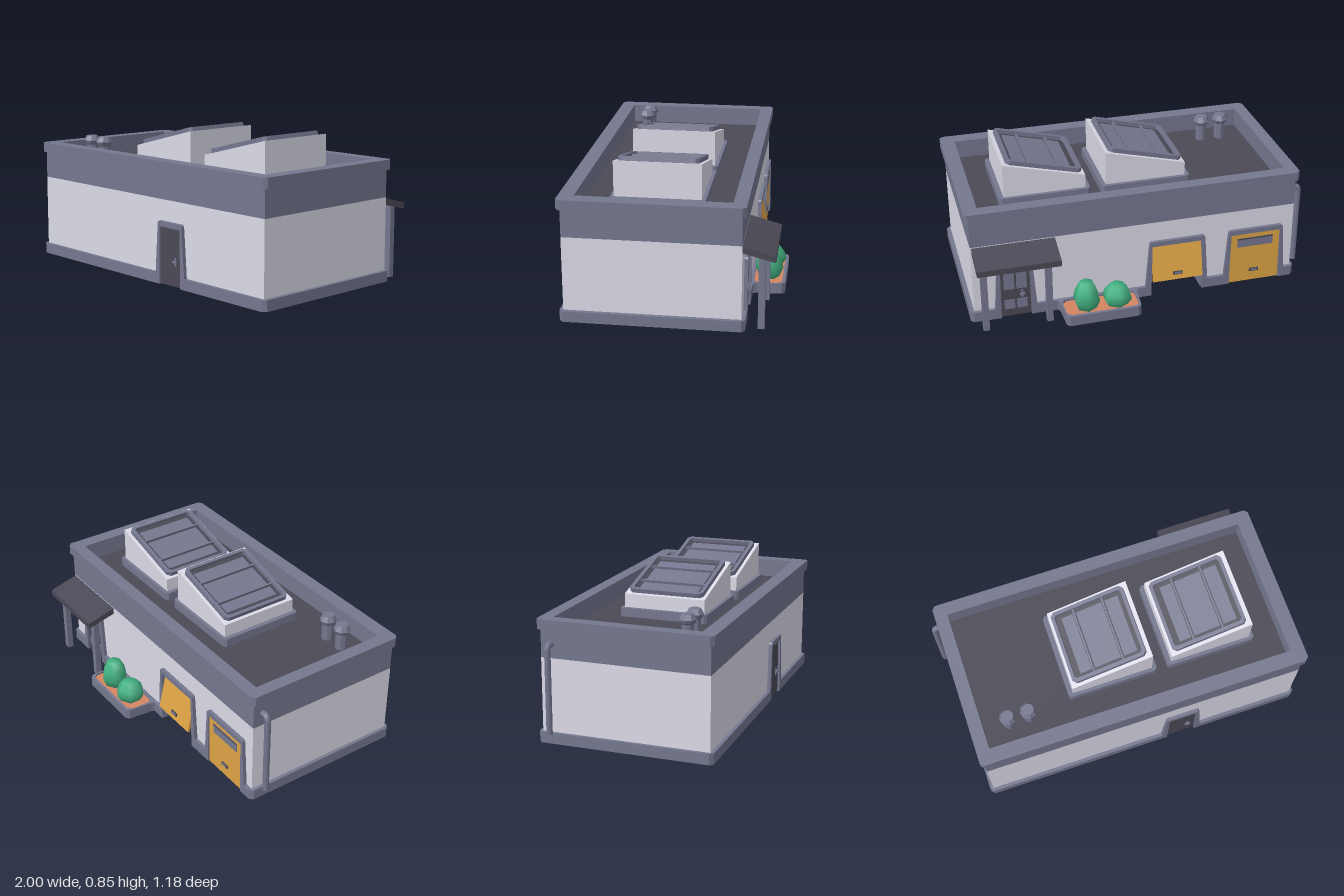
import * as THREE from 'three';

const mat = (name, color) => { const m = new THREE.MeshStandardMaterial({ color }); m.name = name; return m; };

export function createModel() {
  const M = {
    wall: mat('pale wall', 0xdddce9), slate: mat('slate trim', 0x75778f), dark: mat('dark grey', 0x4b4955),
    amber: mat('amber door', 0xdda345), soil: mat('terracotta soil', 0xd38562), green: mat('shrub green', 0x43b182),
  };
  const root = new THREE.Group();
  const add = (name, geo, m, x = 0, y = 0, z = 0, parent = root) => {
    const mesh = new THREE.Mesh(geo, m);
    mesh.name = name;
    mesh.position.set(x, y, z);
    parent.add(mesh);
    return mesh;
  };
  // box given by its min and max corners
  const box = (name, m, x0, x1, y0, y1, z0, z1, parent = root) =>
    add(name, new THREE.BoxGeometry(x1 - x0, y1 - y0, z1 - z0), m, (x0 + x1) / 2, (y0 + y1) / 2, (z0 + z1) / 2, parent);
  const poly = (pts, Type = THREE.Shape) => new Type(pts.map(p => new THREE.Vector2(...p)));
  const extrude = (shape, depth) => new THREE.ExtrudeGeometry(shape, { depth, bevelEnabled: false });
  // extrude a plan outline of [x, -z] points upward from y0 to y1
  const slab = (name, m, shape, y0, y1) => add(name, extrude(shape, y1 - y0).rotateX(-Math.PI / 2), m, 0, y0, 0);
  // rectangle with cut corners
  const cut = (x0, x1, y0, y1, c) => [[x0 + c, y0], [x1 - c, y0], [x1, y0 + c], [x1, y1 - c],
    [x1 - c, y1], [x0 + c, y1], [x0, y1 - c], [x0, y0 + c]];

  // plinth with notches for the doors and a bay behind the raised garage door
  const notch = (c, w, edge, inner) => [[c + w, edge], [c + w, inner], [c - w, inner], [c - w, edge]];
  const plan = poly([
    [-0.935, -0.59], ...notch(0.257, -0.088, -0.59, -0.567), [0.978, -0.59], [0.998, -0.57], [0.998, 0.39], [0.978, 0.41],
    ...notch(0.735, 0.088, 0.41, 0.387), ...notch(-0.22, 0.155, 0.41, 0.19), ...notch(-0.7, 0.155, 0.41, 0.387),
    [-0.935, 0.41], [-0.955, 0.39], [-0.955, -0.57]]);
  slab('plinth', M.slate, plan, 0, 0.062);

  // walls: solid front part, back part cut out around the bay
  box('mainWalls', M.wall, -0.935, 0.975, 0.06, 0.48, -0.19, 0.57);
  add('backWall', extrude(poly([[-0.935, 0.06], [-0.375, 0.06], [-0.375, 0.34], [-0.065, 0.34], [-0.065, 0.06],
    [0.975, 0.06], [0.975, 0.48], [-0.935, 0.48]]), 0.2), M.wall, 0, 0, -0.39);
  box('bayBack', M.slate, -0.375, -0.065, 0, 0.34, -0.196, -0.188);
  box('bayCeiling', M.slate, -0.375, -0.065, 0.332, 0.34, -0.39, -0.19);
  for (const x of [-0.375, -0.071]) box('baySide', M.slate, x, x + 0.006, 0.005, 0.34, -0.39, -0.19);

  // upper band, parapet and sunken roof
  const ring = (o) => {
    const s = poly(o);
    s.holes.push(poly([[-0.88, -0.505], [-0.88, 0.335], [0.915, 0.335], [0.915, -0.505]], THREE.Path));
    return s;
  };
  slab('upperBand', M.slate, ring(cut(-0.935, 0.975, -0.57, 0.39, 0.001)), 0.48, 0.64);
  slab('parapet', M.slate, ring(cut(-0.955, 0.998, -0.59, 0.41, 0.02)), 0.638, 0.695);
  box('roofFloor', M.dark, -0.89, 0.925, 0.5, 0.585, -0.345, 0.515);

  // flared frame around a doorway, facing local +z
  const doorway = (name, x, z, turn, half) => {
    const g = new THREE.Group();
    g.name = name;
    g.position.set(x, 0, z);
    g.rotation.y = turn;
    root.add(g);
    const h = 0.33, t = half + 0.008, b = half + 0.033;
    add('doorFrame', extrude(poly([[-b, 0], [-half, 0], [-half + 0.004, h], [half - 0.004, h], [half, 0], [b, 0],
      [b, 0.062], [t + 0.004, h + 0.02], [t - 0.004, h + 0.03], [-t + 0.004, h + 0.03], [-t - 0.004, h + 0.02], [-b, 0.062]]),
    0.0205), M.slate, 0, 0, 0, g);
    return g;
  };
  const front = doorway('frontDoor', 0.257, 0.57, 0, 0.088);
  const rear = doorway('rearDoor', 0.735, -0.39, Math.PI, 0.088);
  for (const g of [front, rear]) {
    box('doorLeaf', M.dark, -0.088, 0.088, 0.002, 0.332, -0.004, 0.008, g);
    box('handlePlate', M.slate, 0.03, 0.046, 0.12, 0.165, 0.008, 0.012, g);
    box('handleBar', M.slate, 0.022, 0.054, 0.138, 0.148, 0.012, 0.022, g);
  }
  for (const [y0, y1] of [[0.05, 0.11], [0.18, 0.3]])
    for (const x of [-0.066, 0.006]) box('doorPane', M.slate, x, x + 0.06, y0, y1, 0.007, 0.012, rear);

  // garage doors: one shut with a letter-slot window, one tilted open
  const shut = doorway('closedGarage', -0.7, -0.39, Math.PI, 0.155);
  const raised = doorway('openGarage', -0.22, -0.39, Math.PI, 0.155);
  box('garageLeaf', M.amber, -0.155, 0.155, 0.002, 0.332, -0.002, 0.012, shut);
  box('garageWindow', M.slate, -0.11, 0.11, 0.24, 0.298, 0.011, 0.015, shut);
  box('garageWindowLintel', M.dark, -0.11, 0.11, 0.29, 0.298, 0.012, 0.017, shut);
  const tilt = new THREE.Group();
  tilt.name = 'tiltedLeaf';
  tilt.position.set(0, 0.335, -0.022);
  tilt.rotation.x = -0.23;
  raised.add(tilt);
  box('garageLeaf', M.amber, -0.15, 0.15, -0.24, 0, -0.006, 0.01, tilt);
  for (const [g, y, z] of [[shut, 0.075, 0.012], [tilt, -0.2, 0.01]]) {
    box('garageHandle', M.dark, -0.028, 0.028, y - 0.01, y + 0.01, z, z + 0.006, g);
    box('garageGrip', M.slate, -0.02, 0.02, y - 0.005, y + 0.005, z, z + 0.008, g);
  }

  // canopy on two posts
  add('canopy', extrude(poly([[0.38, 0.44], [0.565, 0.392], [0.565, 0.427], [0.38, 0.478]]), 0.47)
    .rotateY(Math.PI / 2), M.dark, 0.497, 0, 0);
  for (const x of [0.56, 0.925]) box('canopyPost', M.slate, x - 0.018, x + 0.018, 0, 0.42, -0.51, -0.474);

  // planter with two shrubs
  const rim = poly([[0.02, 0.4], [0.5, 0.4], [0.485, 0.43], [0.48, 0.572], [0.462, 0.59], [0.062, 0.59], [0.042, 0.572], [0.03, 0.43]]);
  rim.holes.push(poly(cut(0.047, 0.473, 0.411, 0.572, 0.025), THREE.Path));
  slab('planter', M.slate, rim, 0, 0.062);
  box('planterBase', M.slate, 0.045, 0.475, 0, 0.01, -0.574, -0.405);
  box('soil', M.soil, 0.045, 0.475, 0.01, 0.05, -0.574, -0.405);
  const lathe = (pts, n) => new THREE.LatheGeometry(pts.map(p => new THREE.Vector2(...p)), n);
  for (const [x, r, h] of [[0.165, 0.088, 0.125], [0.345, 0.08, 0.17]])
    add('shrub', lathe([[0, 0], [r * 0.7, 0], [r, h * 0.34], [r * 0.87, h * 0.66], [r * 0.5, h], [0, h]], 6),
      M.green, x, 0.045, -0.492);

  // drainpipe with an elbow into the band
  const pipe = new THREE.CurvePath();
  const P = (x, y) => new THREE.Vector3(x, y, -0.33);
  pipe.add(new THREE.LineCurve3(P(-0.98, 0.062), P(-0.98, 0.535)));
  pipe.add(new THREE.QuadraticBezierCurve3(P(-0.98, 0.535), P(-0.98, 0.56), P(-0.96, 0.56)));
  pipe.add(new THREE.LineCurve3(P(-0.96, 0.56), P(-0.93, 0.56)));
  add('drainpipe', new THREE.TubeGeometry(pipe, 40, 0.018, 8), M.slate);
  add('drainpipeEnd', new THREE.CircleGeometry(0.018, 8).rotateX(Math.PI / 2), M.slate, -0.98, 0.062, -0.33);

  // roof vents
  const ventGeo = lathe([[0.034, 0], [0.034, 0.1], [0.042, 0.108], [0.05, 0.126], [0.034, 0.155], [0, 0.155]], 8).toNonIndexed();
  ventGeo.computeVertexNormals();
  for (const x of [-0.73, -0.61]) add('roofVent', ventGeo, M.slate, x, 0.585, 0.37);

  // sloped skylights
  for (const x of [-0.0975, 0.4975]) {
    const g = new THREE.Group();
    g.name = 'skylight';
    g.position.set(x, 0, 0.09);
    root.add(g);
    add('skylightSkirt', extrude(poly(cut(-0.265, 0.265, -0.26, 0.26, 0.015)), 0.055).rotateX(-Math.PI / 2), M.slate, 0, 0.58, 0, g);
    add('skylightBox', extrude(poly([[-0.238, 0.6], [0.238, 0.6], [0.238, 0.836], [-0.238, 0.714]]), 0.48), M.wall, 0, 0, -0.24, g);
    const lid = new THREE.Group();
    lid.name = 'skylightLid';
    lid.position.set(-0.003, 0.774, 0);
    lid.rotation.z = Math.atan2(0.122, 0.476);
    g.add(lid);
    const frame = poly(cut(-0.224, 0.224, -0.22, 0.22, 0.02));
    frame.holes.push(poly(cut(-0.204, 0.204, -0.198, 0.198, 0.012), THREE.Path));
    add('lidFrame', extrude(frame, 0.026).rotateX(-Math.PI / 2), M.slate, 0, 0, 0, lid);
    box('lidBed', M.dark, -0.206, 0.206, 0, 0.003, -0.2, 0.2, lid);
    for (const [x0, x1] of [[-0.17, -0.1], [-0.08, 0.078], [0.098, 0.178]])
      box('glassPane', M.slate, x0, x1, 0.002, 0.006, -0.175, 0.175, lid);
    for (const xb of [-0.09, 0.088]) box('glazingBar', M.slate, xb - 0.005, xb + 0.005, 0.002, 0.018, -0.198, 0.198, lid);
  }
  return root;
}
